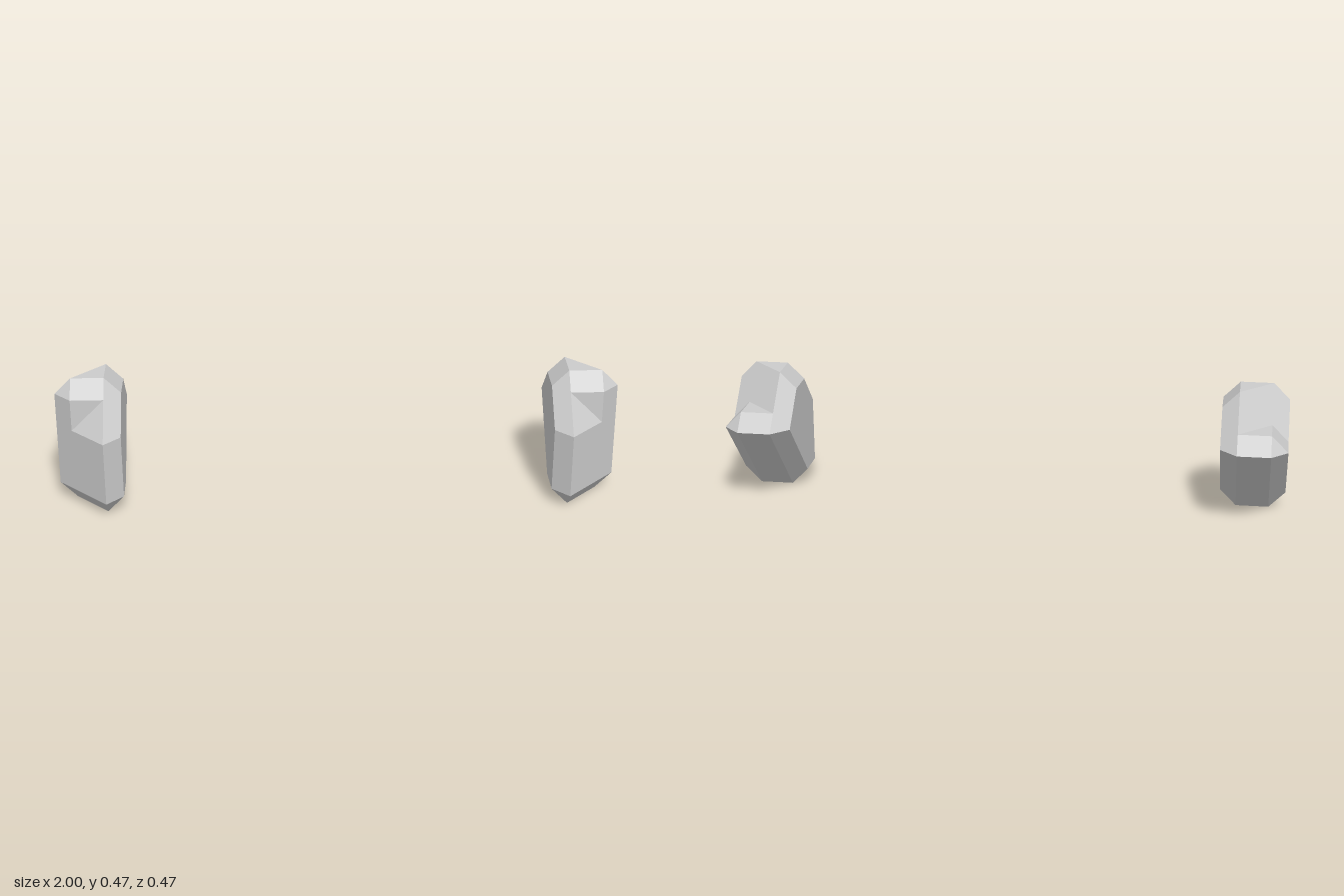
import * as THREE from 'three';

const U = 1 / 17; // grid unit: the pair spans 34 units across
const material = new THREE.MeshStandardMaterial({ color: 0xcccccc, flatShading: true });
const CORE = new THREE.Vector3(14.5, 4, 0.5); // a point inside the block, used to turn faces outward

// Flat faces [x, y, z] in units, fanned from their first corner; side = 1 (left) or -1 (right)
function facetMesh(name, faces, side) {
  const positions = [];
  for (const face of faces) {
    const pts = face.map((p) => new THREE.Vector3(...p));
    for (let i = 1; i < pts.length - 1; i++) {
      const [a, b, c] = [pts[0], pts[i], pts[i + 1]];
      const normal = b.clone().sub(a).cross(c.clone().sub(a));
      if (normal.length() < 1e-6) continue;
      const outward = normal.dot(a.clone().sub(CORE)) > 0;
      const order = outward === (side > 0) ? [a, b, c] : [a, c, b];
      for (const v of order) positions.push(v.x * U * side, v.y * U, v.z * U);
    }
  }
  const geometry = new THREE.BufferGeometry();
  geometry.setAttribute('position', new THREE.Float32BufferAttribute(positions, 3));
  geometry.computeVertexNormals();
  const mesh = new THREE.Mesh(geometry, material);
  mesh.name = name;
  return mesh;
}

// Inner side: profile (z, y) at x = 14, bevelled to a smaller one at x = 13
const rim = [[3, 0], [1, 0], [-4, 5], [-1, 8], [1, 8], [4, 5], [4, 1]];
const inset = [[3, 1], [1, 1], [-3, 5], [-1, 7], [1, 7], [3, 5], [3, 1]];
const at = (x, [z, y]) => [x, y, z];
const innerBevel = rim.map((p, i) => {
  const j = (i + 1) % rim.length;
  return [at(14, p), at(14, rim[j]), at(13, inset[j]), at(13, inset[i])];
});
const innerSide = [inset.slice(0, 6).map((p) => at(13, p))];

// Base: flat foot, its front bevel and the sloping underside with its outer bevel
const base = [
  [[14, 0, 3], [14, 0, 1], [16, 0, 1]],
  [[14, 0, 3], [16, 0, 1], [17, 1, 1], [14, 1, 4]],
  [[14, 0, 1], [16, 0, 1], [16, 5, -4], [14, 5, -4]],
  [[16, 0, 1], [17, 1, 1], [17, 5, -3], [16, 5, -4]],
];

// Walls: diagonal front and outer side
const walls = [
  [[16, 5, 2], [16, 7, 2], [17, 7, 1], [17, 1, 1], [14, 1, 4], [14, 5, 4]],
  [[17, 1, 1], [17, 7, 1], [17, 5, -1], [17, 5, -3]],
];

// Notch cut in the upper front corner
const frontNotch = [
  [[16, 5, 2], [16, 7, 2], [14, 7, 2]],
  [[16, 5, 2], [14, 7, 2], [14, 5, 4]],
];

// Crown: top, front slope, corner and the diagonal cut behind it
const crown = [
  [[14, 8, 1], [16, 8, 1], [14, 8, -1]],
  [[14, 7, 2], [16, 7, 2], [16, 8, 1], [14, 8, 1]],
  [[16, 7, 2], [17, 7, 1], [16, 8, 1]],
  [[16, 6, -1], [14, 6, -3], [14, 8, -1], [16, 8, 1], [17, 7, 1], [17, 5, -1]],
];

// Rear ledge: flat top with bevelled edges
const rearLedge = [
  [[14, 6, -3], [16, 6, -3], [16, 6, -1]],
  [[16, 6, -1], [16, 6, -3], [17, 5, -3], [17, 5, -1]],
  [[14, 6, -3], [16, 6, -3], [16, 5, -4], [14, 5, -4]],
  [[16, 6, -3], [17, 5, -3], [16, 5, -4]],
];

const parts = { innerSide, innerBevel, base, walls, frontNotch, crown, rearLedge };

export function createModel() {
  const model = new THREE.Group();
  model.name = 'facetedPair';
  for (const side of [1, -1]) {
    const block = new THREE.Group();
    block.name = side > 0 ? 'leftBlock' : 'rightBlock';
    for (const [name, faces] of Object.entries(parts)) block.add(facetMesh(name, faces, side));
    model.add(block);
  }
  return model;
}
